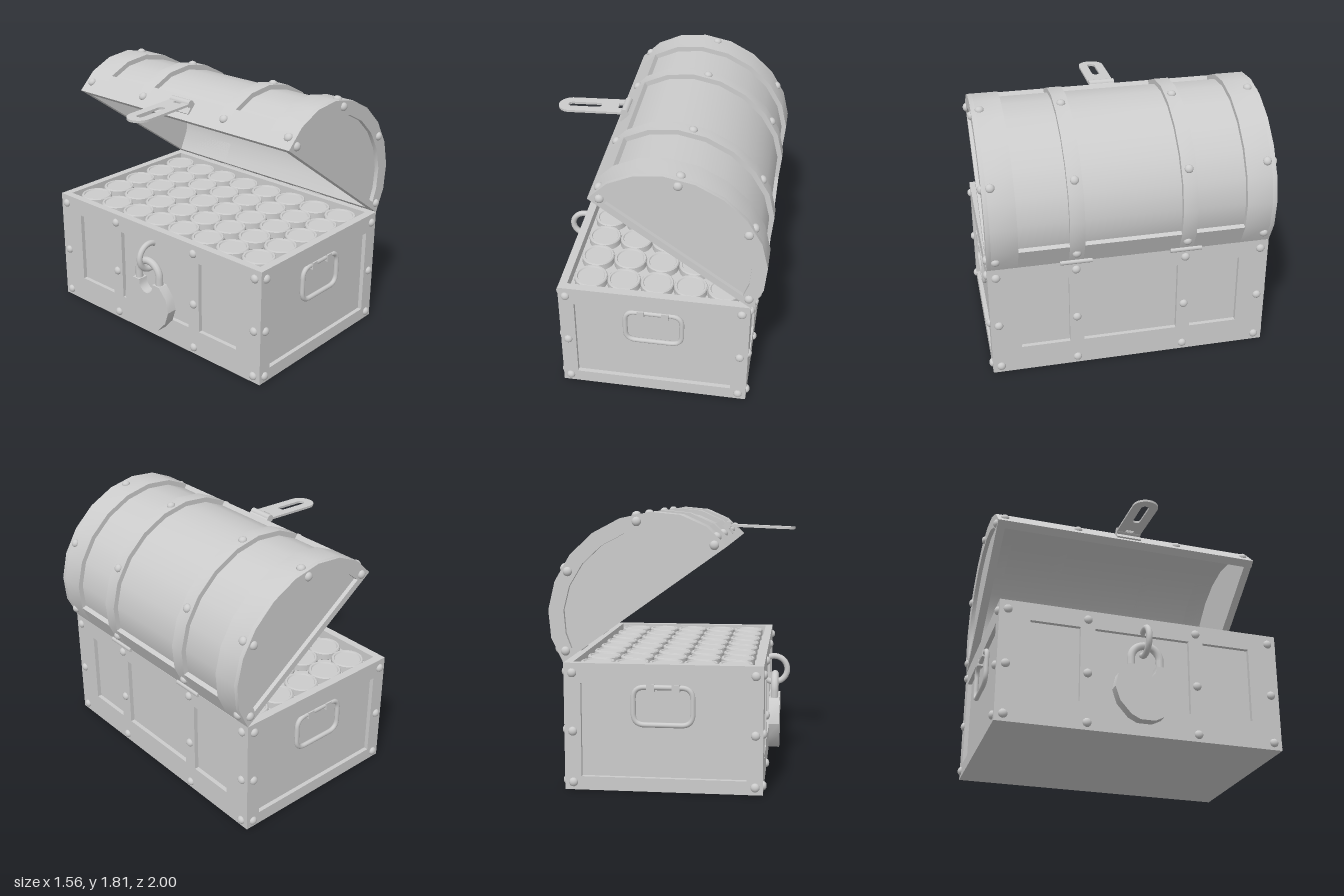
import * as THREE from 'three';
import { toCreasedNormals } from 'three/addons/utils/BufferGeometryUtils.js';

const material = new THREE.MeshStandardMaterial({ color: 0xcccccc });
const END = 0.977, SKIN = 0.03, HEIGHT = 0.84;
const SEGMENTS = 10, LID_A = 0.645, LID_B = 0.56;

function add(parent, name, geometry, x = 0, y = 0, z = 0) {
  const mesh = new THREE.Mesh(geometry, material);
  mesh.name = name;
  mesh.position.set(x, y, z);
  parent.add(mesh);
  return mesh;
}

const points = (list) => list.map(([x, y]) => new THREE.Vector2(x, y));
const rect = (x0, x1, y0, y1) => points([[x0, y0], [x1, y0], [x1, y1], [x0, y1]]);

function slab(outline, holes, depth) {
  const shape = new THREE.Shape(outline);
  shape.holes = holes.map((h) => new THREE.Path(h));
  const geometry = new THREE.ExtrudeGeometry(shape, { depth, bevelEnabled: false, curveSegments: 12 });
  return toCreasedNormals(geometry, 0.5);
}

// Points of the half-elliptical lid section between two segment indices
function arc(a, b, from = 0, to = SEGMENTS) {
  const list = [];
  for (let i = from; i <= to; i++) {
    const t = (i / SEGMENTS) * Math.PI;
    list.push([a * Math.cos(t), b * Math.sin(t)]);
  }
  return points(list);
}

function lidStrip(outer, inner, from, to, depth) {
  return slab([...arc(...outer, from, to), ...arc(...inner, from, to).reverse()], [], depth);
}

// Domed rivet pointing along a normal
const rivetGeometry = new THREE.SphereGeometry(0.03, 14, 10);
function rivet(parent, x, y, z, normal) {
  const mesh = add(parent, 'rivet', rivetGeometry, x, y, z);
  mesh.scale.y = 0.77;
  mesh.quaternion.setFromUnitVectors(new THREE.Vector3(0, 1, 0), normal);
}

function buildBox() {
  const box = new THREE.Group();
  box.name = 'chestBox';
  const endFrame = slab(rect(-0.6, 0.69, 0, HEIGHT), [rect(-0.495, 0.58, 0.09, 0.71)], SKIN);
  const sideFrame = slab(rect(-END + SKIN, END - SKIN, 0, HEIGHT),
    [[-0.77, -0.43], [-0.33, 0.33], [0.43, 0.77]].map(([a, b]) => rect(a, b, 0.19, 0.715)), SKIN);
  sideFrame.rotateY(Math.PI / 2);
  add(box, 'endFrame', endFrame, 0, 0, END - SKIN);
  add(box, 'endFrame', endFrame, 0, 0, -END);
  add(box, 'backFrame', sideFrame, 0.66);
  add(box, 'frontFrame', sideFrame, -0.6);

  // Recessed panels behind the frames, and the floor
  for (const s of [-1, 1]) {
    add(box, 'endPanel', new THREE.BoxGeometry(1.23, HEIGHT, 0.027), 0.045, HEIGHT / 2, s * 0.9335);
    add(box, 'sidePanel', new THREE.BoxGeometry(0.025, HEIGHT, 1.84), 0.045 + s * 0.6025, HEIGHT / 2, 0);
  }
  add(box, 'floor', new THREE.BoxGeometry(1.23, 0.05, 1.88), 0.045, 0.025, 0);

  for (const y of [0.05, 0.39, 0.775]) {
    for (const s of [-1, 1]) {
      for (const x of [-0.55, 0.635]) rivet(box, x, y, s * END, new THREE.Vector3(0, 0, s));
      for (const z of [-0.92, -0.38, 0.38, 0.92])
        rivet(box, 0.045 + s * 0.645, y, z, new THREE.Vector3(s, 0, 0));
    }
  }
  return box;
}

function buildLid() {
  const lid = new THREE.Group();
  lid.name = 'lid';
  lid.position.set(0.165, 1.215, 0);
  lid.rotation.z = -0.62;
  const outer = [LID_A, LID_B], mid = [0.61, 0.525], inner = [0.585, 0.5];

  add(lid, 'lidShell', lidStrip(mid, inner, 0, SEGMENTS, 1.88), 0, 0, -0.94);

  // Raised bands across the dome
  for (const [z0, z1] of [[-0.947, -0.77], [-0.43, -0.33], [0.33, 0.43], [0.77, 0.947]])
    add(lid, 'lidBand', lidStrip(outer, inner, 0, SEGMENTS, z1 - z0), 0, 0, z0);

  // Rails along the lower edges, between the bands
  for (const [z0, z1] of [[-0.77, -0.43], [-0.33, 0.33], [0.43, 0.77]])
    for (const i of [0, SEGMENTS - 1])
      add(lid, 'lidRail', lidStrip(outer, inner, i, i + 1, z1 - z0), 0, 0, z0);

  // Ends: a frame in front of a recessed panel
  const opening = arc(0.545, 0.462);
  opening[0].y = opening[SEGMENTS].y = 0.045;
  const frame = slab(arc(...outer), [opening], SKIN);
  const panel = slab(arc(...mid), [], 0.027);
  for (const s of [-1, 1]) {
    add(lid, 'lidEndFrame', frame, 0, 0, s > 0 ? END - SKIN : -END);
    add(lid, 'lidEndPanel', panel, 0, 0, s > 0 ? 0.92 : -0.947);
    for (const m of [-1, 1])
      for (const [x, y] of [[0.587, 0.052], [0.273, 0.455]])
        rivet(lid, m * x, y, s * END, new THREE.Vector3(0, 0, s));
  }

  // Rivets in the middle of every third facet
  const rim = arc(...outer);
  for (const i of [0, 3, 6, 9]) {
    const p = rim[i], q = rim[i + 1];
    const normal = new THREE.Vector3(q.y - p.y, p.x - q.x, 0).normalize();
    for (const z of [-0.92, -0.38, 0.38, 0.92]) rivet(lid, (p.x + q.x) / 2, (p.y + q.y) / 2, z, normal);
  }
  return lid;
}

// Rounded rectangular pull handle with two clips, on the +z end
function buildHandle() {
  const handle = new THREE.Group();
  handle.name = 'handle';
  const path = new THREE.CurvePath();
  const x0 = -0.148, x1 = 0.238, y0 = 0.442, y1 = 0.688, r = 0.075;
  const v = (x, y) => new THREE.Vector3(x, y, 0);
  const corners = [[x0, y0, 0, 1], [x0, y1, 1, 0], [x1, y1, 0, -1], [x1, y0, -1, 0]];
  corners.forEach(([x, y, dx, dy], i) => {
    const [nx, ny, ex, ey] = corners[(i + 1) % 4];
    path.add(new THREE.LineCurve3(v(x + dx * r, y + dy * r), v(nx - dx * r, ny - dy * r)));
    path.add(new THREE.QuadraticBezierCurve3(v(nx - dx * r, ny - dy * r), v(nx, ny), v(nx + ex * r, ny + ey * r)));
  });
  add(handle, 'handleRing', new THREE.TubeGeometry(path, 96, 0.017, 10, true), 0, 0, 0.966);
  for (const x of [-0.04, 0.125])
    add(handle, 'handleClip', new THREE.BoxGeometry(0.05, 0.05, 0.042), x, 0.685, 0.966);
  return handle;
}

function buildHasp() {
  const hasp = new THREE.Group();
  hasp.name = 'hasp';
  hasp.position.set(-0.3, 1.69, 0);
  hasp.rotation.z = 0.04;
  const plate = new THREE.Shape();
  plate.moveTo(0.02, -0.09).lineTo(0.02, 0.09).lineTo(-0.39, 0.09);
  plate.absarc(-0.39, 0, 0.09, Math.PI / 2, Math.PI * 1.5, false);
  const slot = new THREE.Path();
  slot.moveTo(-0.2, 0.027).lineTo(-0.385, 0.027);
  slot.absarc(-0.385, 0, 0.027, Math.PI / 2, Math.PI * 1.5, false);
  slot.lineTo(-0.2, -0.027).absarc(-0.2, 0, 0.027, -Math.PI / 2, Math.PI / 2, false);
  const geometry = slab(plate.getPoints(12), [slot.getPoints(8), rect(-0.055, -0.025, -0.03, 0.03)], 0.016);
  add(hasp, 'haspPlate', geometry.rotateX(Math.PI / 2), 0, 0.008, 0);
  add(hasp, 'haspBarrel', new THREE.CylinderGeometry(0.026, 0.026, 0.18, 14).rotateX(Math.PI / 2), 0, 0.003, 0);
  const mount = add(hasp, 'haspMount', new THREE.BoxGeometry(0.02, 0.09, 0.18), 0, -0.03, 0);
  mount.rotation.z = -0.7;
  return hasp;
}

function buildPadlock() {
  const lock = new THREE.Group();
  lock.name = 'padlock';
  lock.position.x = -0.647;
  // Faceted body with a round notch between the shackle legs
  const half = [[0.065, 0.46], [0.13, 0.46], [0.195, 0.385], [0.217, 0.29], [0.185, 0.195], [0.11, 0.11], [0.05, 0.08]];
  const notch = [];
  for (let i = 1; i < 10; i++) {
    const t = Math.PI * (1 + i / 10);
    notch.push([0.065 * Math.cos(t), 0.45 + 0.075 * Math.sin(t)]);
  }
  const outline = points([...notch, ...half, ...half.map(([x, y]) => [-x, y]).reverse()]);
  add(lock, 'lockBody', slab(outline, [], 0.075).rotateY(Math.PI / 2), -0.0375);
  add(lock, 'shackleArch', new THREE.TorusGeometry(0.1, 0.027, 10, 24, Math.PI).rotateY(Math.PI / 2), 0, 0.513, 0);
  for (const s of [-1, 1])
    add(lock, 'shackleLeg', new THREE.CylinderGeometry(0.027, 0.027, 0.1, 10), 0, 0.465, s * 0.1);
  return lock;
}

// Rimmed coins laid out in a grid on a bed
function buildCoins() {
  const coins = new THREE.Group();
  coins.name = 'coins';
  const profile = points([[0, 0.765], [0.1, 0.765], [0.113, 0.775], [0.113, 0.82], [0.107, 0.828], [0.095, 0.828], [0.09, 0.82], [0, 0.82]]);
  const coin = toCreasedNormals(new THREE.LatheGeometry(profile, 28), 0.5);
  for (let i = 0; i < 5; i++)
    for (let j = 0; j < 8; j++) add(coins, 'coin', coin, -0.41 + i * 0.2275, 0, (j - 3.5) * 0.2275);
  add(coins, 'coinBed', new THREE.BoxGeometry(1.175, 0.72, 1.84), 0.0425, 0.405, 0);
  return coins;
}

export function createModel() {
  const chest = new THREE.Group();
  chest.name = 'treasureChest';
  chest.add(buildBox(), buildLid(), buildHasp(), buildPadlock(), buildCoins());
  const handle = buildHandle();
  const mirrored = handle.clone();
  for (const part of mirrored.children) part.position.z *= -1;
  chest.add(handle, mirrored);

  // Lock staple on the front and hinges on the back
  const staple = new THREE.TorusGeometry(0.095, 0.021, 10, 28, Math.PI * 1.4).rotateZ(Math.PI * 0.3);
  add(chest, 'staple', staple, -0.64, 0.65, 0);
  for (const z of [-0.38, 0.38])
    add(chest, 'hinge', new THREE.CylinderGeometry(0.017, 0.017, 0.22, 12).rotateX(Math.PI / 2), 0.693, 0.84, z);
  return chest;
}
